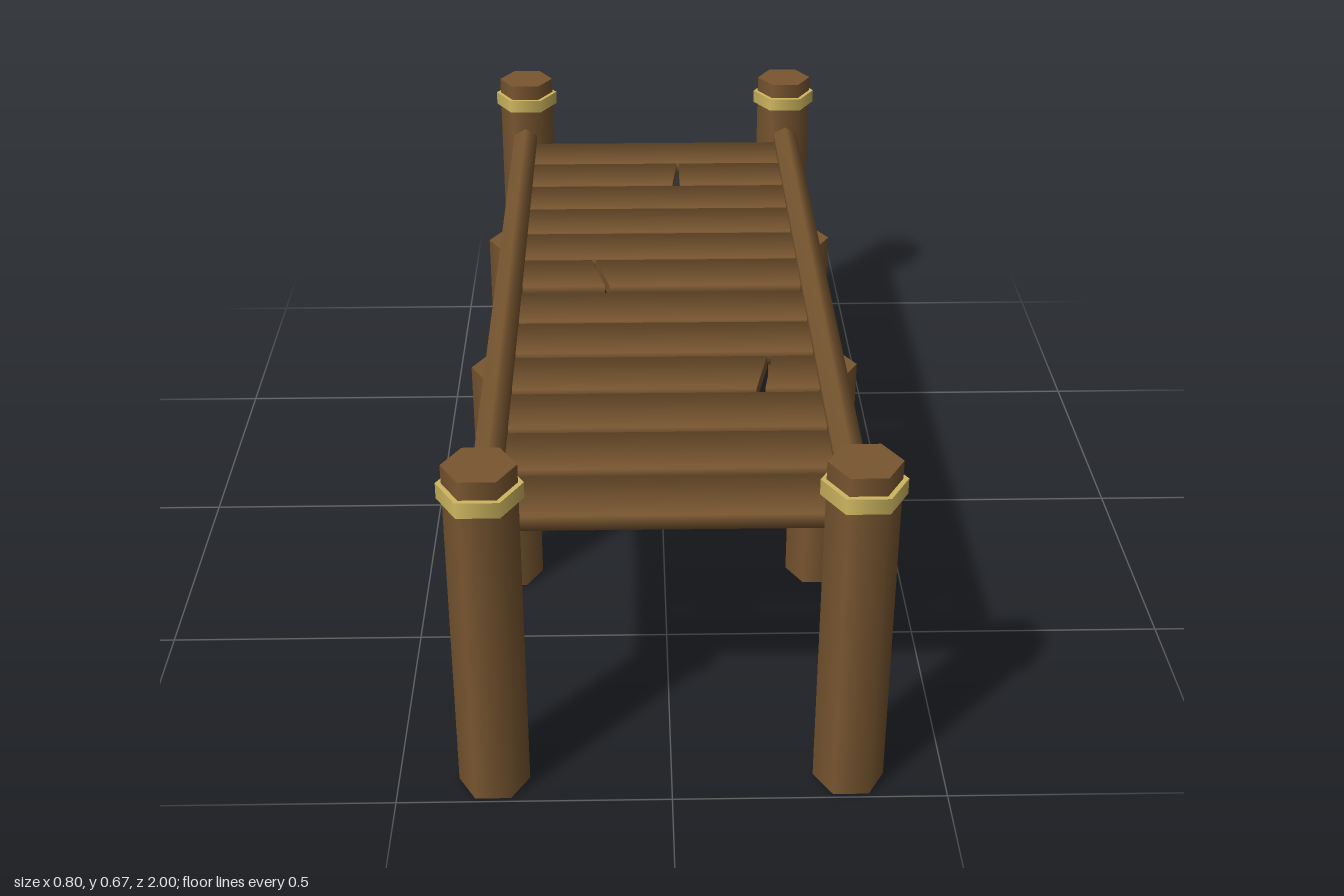
import * as THREE from 'three';

const wood = new THREE.MeshStandardMaterial({ color: 0x785630 });
wood.name = 'brown wood';
const rope = new THREE.MeshStandardMaterial({ color: 0xcfb760 });
rope.name = 'yellow rope';

export function createModel() {
  const model = new THREE.Group();
  model.name = 'dock';

  function add(name, geometry, material, x, y, z) {
    const mesh = new THREE.Mesh(geometry, material);
    mesh.name = name;
    mesh.position.set(x, y, z);
    model.add(mesh);
  }

  // Upright six-sided cylinder with corners towards the left and right
  const hex = (radius, height) =>
    new THREE.CylinderGeometry(radius, radius, height, 6).rotateY(Math.PI / 6);

  for (const side of [-1, 1]) {
    const x = 0.325 * side;
    // Corner posts with rope bands
    for (const z of [-0.935, 0.935]) {
      add('cornerPost', hex(0.065, 0.673), wood, x, 0.3365, z);
      add('ropeBand', hex(0.075, 0.03), rope, x, 0.623, z);
    }
    // Shorter posts under the deck
    for (const z of [-0.352, 0.263]) {
      add('middlePost', hex(0.065, 0.495), wood, x, 0.2475, z);
    }
    // Side rail
    const rail = new THREE.CylinderGeometry(0.032, 0.032, 1.77, 6).rotateX(Math.PI / 2);
    add('sideRail', rail, wood, 0.328 * side, 0.528, 0);
  }

  // Plank with softly shaded long edges; each end is [x at back, x at front]
  const width = 0.132, thickness = 0.03;
  function plank(name, z, left, right) {
    const geometry = new THREE.CylinderGeometry(1, 1, 1, 4)
      .rotateY(Math.PI / 4).rotateZ(Math.PI / 2);
    const p = geometry.attributes.position;
    for (let i = 0; i < p.count; i++) {
      const end = p.getX(i) < 0 ? left : right;
      const py = p.getY(i) / Math.SQRT2, pz = p.getZ(i) / Math.SQRT2;
      p.setXYZ(i, end[0] + (end[1] - end[0]) * (pz + 0.5), py * thickness, pz * width);
    }
    add(name, geometry, wood, 0, 0.51, z);
  }

  const edge = 0.315;
  const rows = [-0.8, -0.664, -0.524, -0.39, -0.25, -0.11, 0.054, 0.196, 0.347, 0.496, 0.645, 0.8];
  // Cracks by row: end of the left piece, start of the right piece
  const cracks = {
    1: [[0.05, 0.036], [0.056, 0.054]],
    5: [[-0.152, -0.122], [-0.143, -0.112]],
    8: [[0.206, 0.177], [0.216, 0.194]],
  };
  rows.forEach((z, i) => {
    const crack = cracks[i];
    if (crack) {
      plank('brokenPlank', z, [-edge, -edge], crack[0]);
      plank('brokenPlank', z, crack[1], [edge, edge]);
    } else {
      plank('plank', z, [-edge, -edge], [edge, edge]);
    }
  });

  return model;
}
